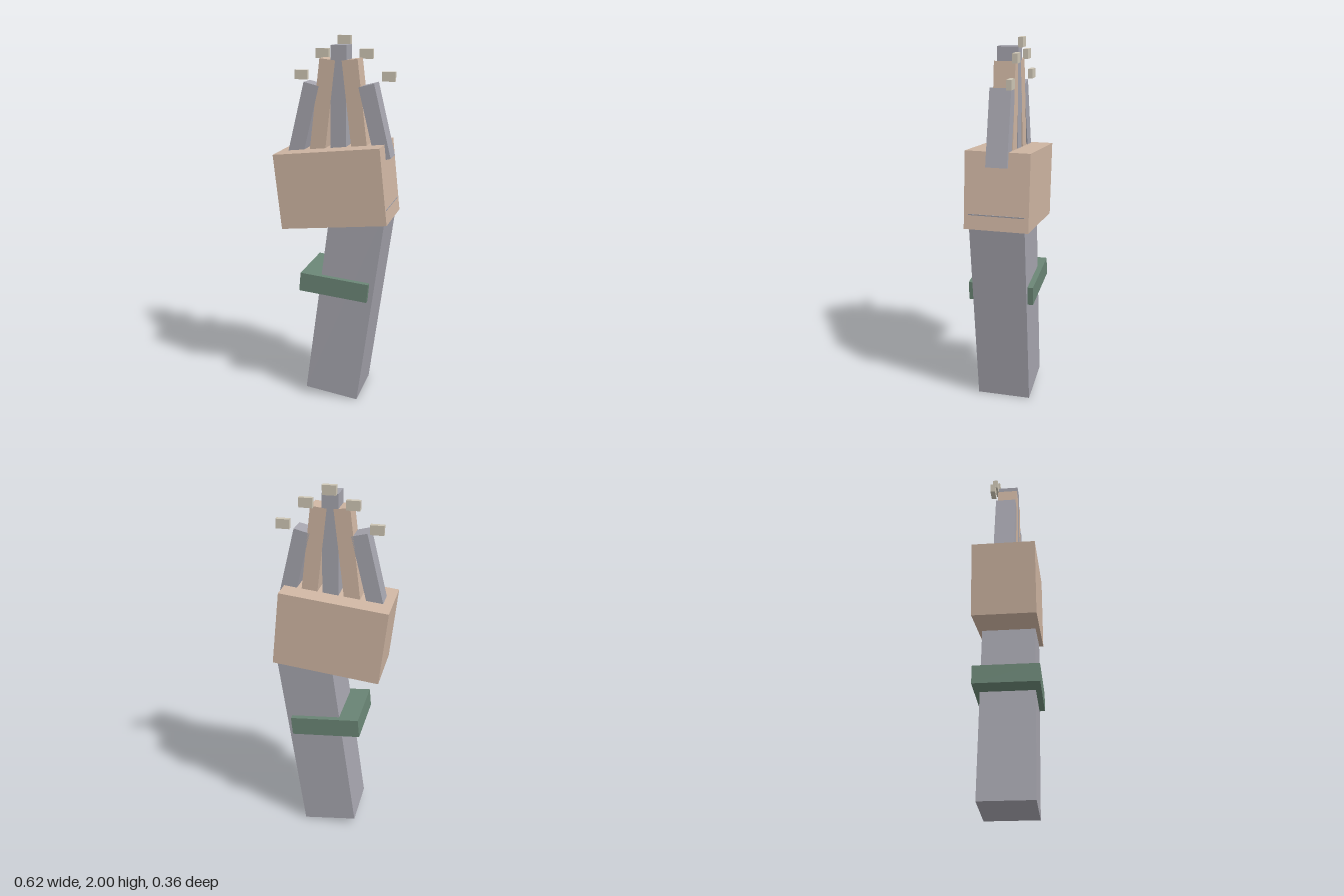
import * as THREE from 'three';

const paint = (color) => new THREE.MeshStandardMaterial({ color, flatShading: true });

export function createModel() {
  const model = new THREE.Group();
  const steel = paint(0xa5a4ad);
  const skin = paint(0xceb5a2);
  const green = paint(0x6a8575);
  const nailColor = paint(0xcdc5b4);

  // A box centred at (x, y, z) and tilted about the z axis
  function block(name, material, [w, h, d], [x, y, z], tilt = 0) {
    const mesh = new THREE.Mesh(new THREE.BoxGeometry(w, h, d), material);
    mesh.name = name;
    mesh.position.set(x, y, z);
    mesh.rotation.z = tilt;
    model.add(mesh);
  }

  // Forearm, wristband and palm
  block('forearm', steel, [0.298, 1.135, 0.296], [0.079, 0.588, 0], -0.135);
  block('wristband', green, [0.38, 0.103, 0.356], [0.023, 0.68, 0], -0.088);
  block('palm', skin, [0.58, 0.407, 0.342], [0, 1.221, 0], 0.108);

  // Fingers fan in towards the middle one, with a floating nail behind each tip
  const middleX = 0.0175;
  const fingers = [
    // offset, centre y, length, tilt, nail offset, nail y
    { name: 'outer', dx: 0.195, y: 1.563, length: 0.396, tilt: 0.24, nailX: 0.241, nailY: 1.792 },
    { name: 'inner', dx: 0.09, y: 1.625, length: 0.52, tilt: 0.118, nailX: 0.12, nailY: 1.907 },
    { name: 'middle', dx: 0, y: 1.658, length: 0.594, tilt: 0, nailX: 0, nailY: 1.976 },
  ];
  for (const f of fingers) {
    for (const side of f.dx ? [-1, 1] : [1]) {
      const label = f.dx ? f.name + (side > 0 ? 'Left' : 'Right') : f.name;
      block(label + 'Finger', f.name === 'inner' ? skin : steel, [0.085, f.length, 0.112],
        [middleX + side * f.dx, f.y, -0.001], side * f.tilt);
      block(label + 'Nail', nailColor, [0.071, 0.05, 0.026],
        [middleX + side * f.nailX, f.nailY, -0.066]);
    }
  }
  return model;
}
